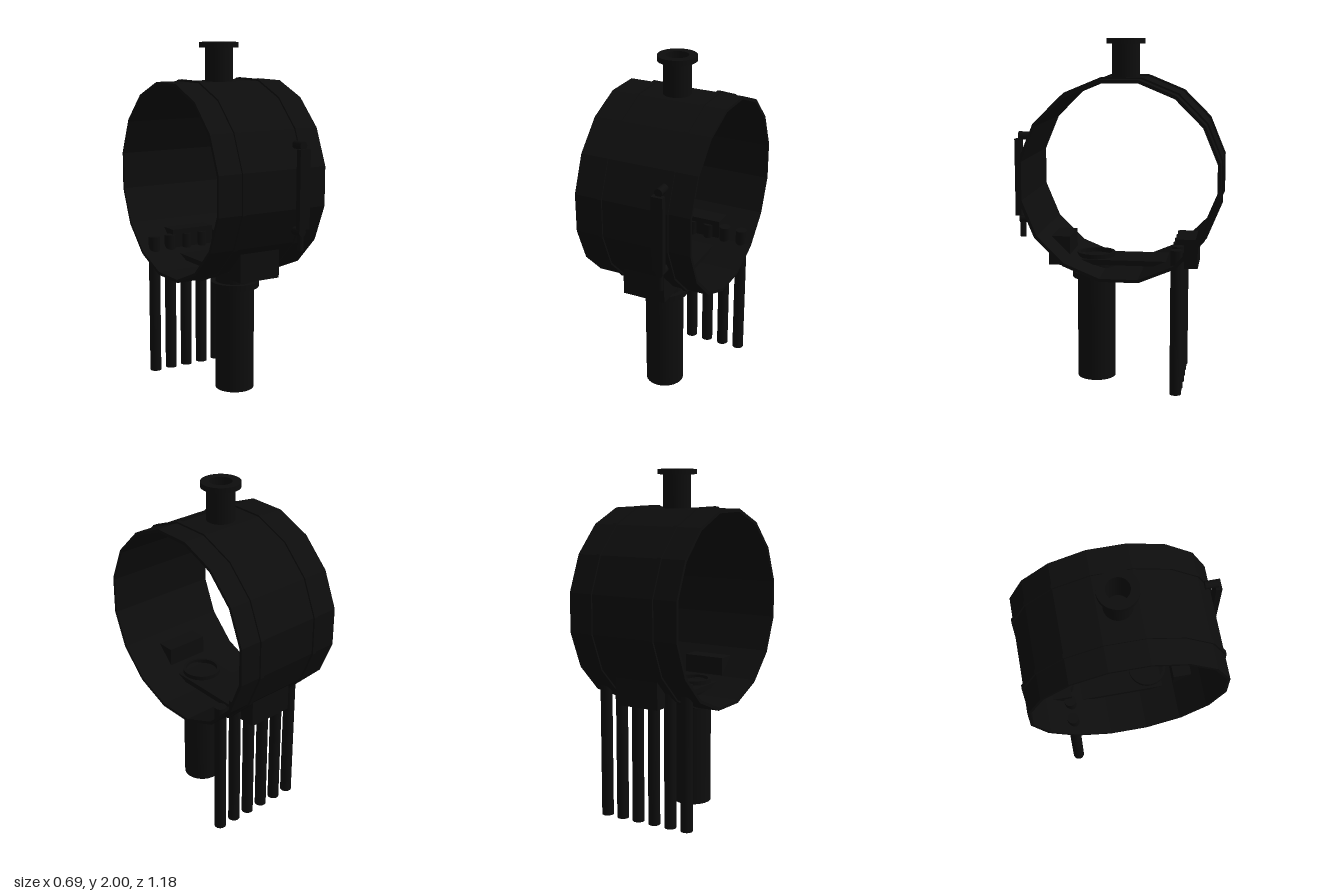
import * as THREE from 'three';

const black = new THREE.MeshStandardMaterial({ color: 0x0d0d0d });
black.name = 'soot black';
const blackFlat = black.clone();
blackFlat.flatShading = true;

export function createModel() {
  const model = new THREE.Group();
  const add = (name, geometry, x, y, z, material = black) => {
    const mesh = new THREE.Mesh(geometry, material);
    mesh.name = name;
    mesh.position.set(x, y, z);
    model.add(mesh);
    return mesh;
  };
  const box = (name, x0, x1, y0, y1, z0, z1) =>
    add(name, new THREE.BoxGeometry(x1 - x0, y1 - y0, z1 - z0),
      (x0 + x1) / 2, (y0 + y1) / 2, (z0 + z1) / 2);
  // Hollow tube along y, centred on its middle; hard rims from repeated profile points
  const ring = (inner, outer, length, sides, start = 0) => {
    const h = length / 2;
    const p = [[inner, -h], [outer, -h], [outer, -h], [outer, h], [outer, h], [inner, h], [inner, h], [inner, -h]];
    return new THREE.LatheGeometry(p.map(([r, y]) => new THREE.Vector2(r, y)), sides, start);
  };

  // Sixteen-sided boiler drum, open at both ends, with two thin bands
  const cy = 1.22, cz = -0.02, turn = Math.PI / 16;
  add('boilerDrum', ring(0.553, 0.571, 0.69, 16, turn).rotateZ(Math.PI / 2), 0, cy, cz, blackFlat);
  for (const x of [-0.19, 0.205])
    add('drumBand', ring(0.565, 0.581, 0.024, 16, turn).rotateZ(Math.PI / 2), x, cy, cz, blackFlat);

  // Chimney and its rim
  add('chimney', ring(0.064, 0.08, 0.235, 32), 0, 1.8725, cz);
  add('chimneyRim', ring(0.064, 0.112, 0.03, 32), 0, 1.985, cz);

  // Main pipe with collar
  add('mainPipe', ring(0.095, 0.112, 0.76, 32), 0, 0.38, 0.155);
  add('mainPipeCollar', ring(0.1, 0.14, 0.034, 32), 0, 0.628, 0.155);

  // Row of slim pipes at the back
  for (let i = 0; i < 6; i++)
    add('slimPipe', new THREE.CylinderGeometry(0.034, 0.034, 0.84, 20), -0.262 + i * 0.1084, 0.42, -0.34);

  // Mounting blocks joined by a plate
  box('frontBlock', -0.128, 0.128, 0.7, 0.87, 0.29, 0.415);
  box('backBlock', -0.14, 0.137, 0.7, 0.87, -0.45, -0.325);
  box('floorPlate', -0.125, 0.125, 0.705, 0.735, -0.33, 0.3);

  // Level gauge on the front
  box('gaugePlate', 0.14, 0.207, 1.0, 1.44, 0.555, 0.59);
  for (const y of [0.98, 1.458])
    add('gaugeFitting', new THREE.CylinderGeometry(0.023, 0.023, 0.075, 16).rotateX(Math.PI / 2), 0.174, y, 0.533);
  add('gaugeDrain', new THREE.CylinderGeometry(0.0175, 0.0175, 0.125, 16), 0.174, 0.9375, 0.553);

  return model;
}
